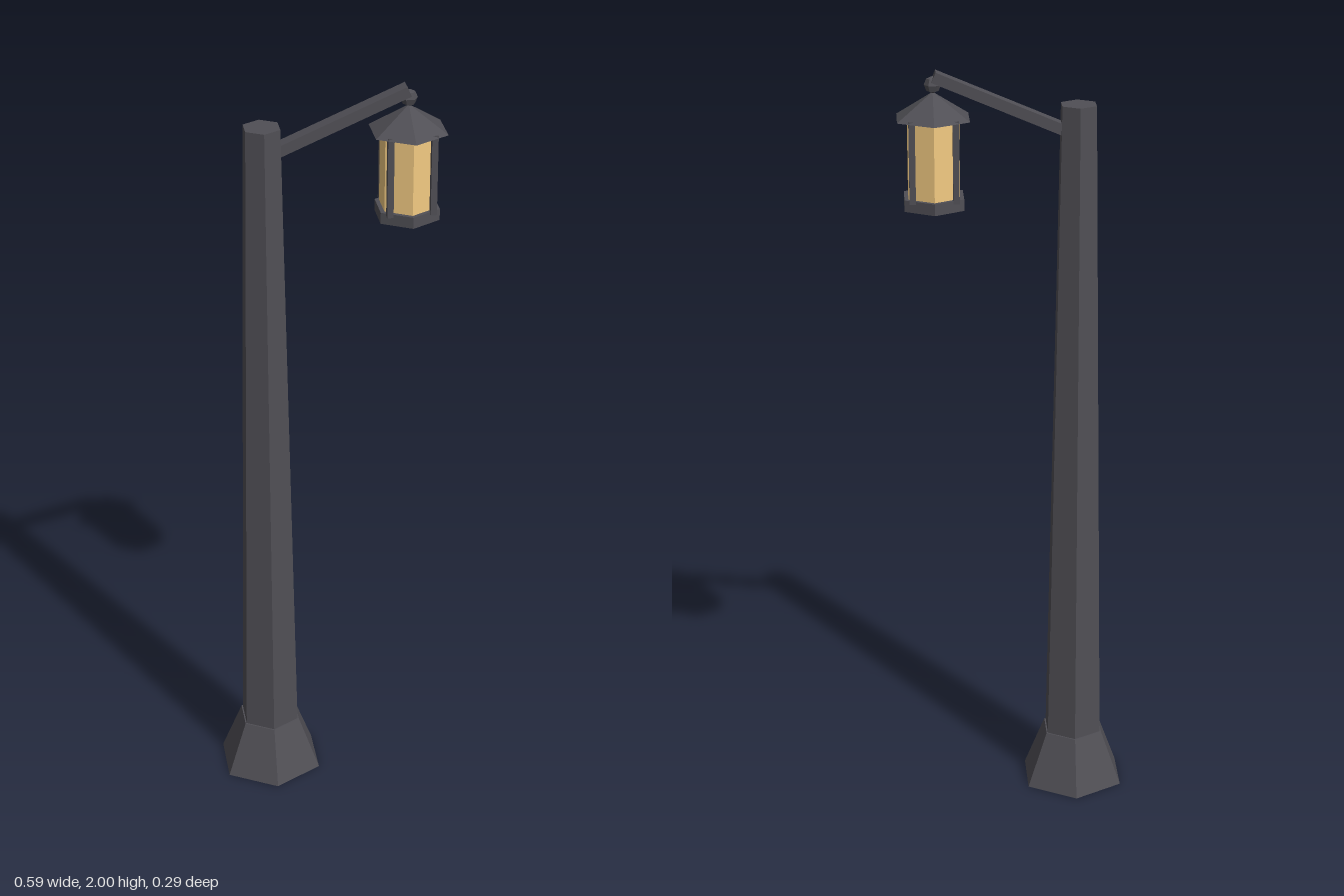
import * as THREE from 'three';

const metal = new THREE.MeshStandardMaterial({ color: 0x504f55, flatShading: true });
const glass = new THREE.MeshStandardMaterial({ color: 0xf2ca82, flatShading: true });

function add(parent, name, geometry, material, x, y, z = 0) {
  const mesh = new THREE.Mesh(geometry, material);
  mesh.name = name;
  mesh.position.set(x, y, z);
  parent.add(mesh);
  return mesh;
}

// Six-sided tapered prism between two heights, corners pointing along z
function hexPrism(parent, name, rTop, rBottom, y0, y1, material, x = 0) {
  const geometry = new THREE.CylinderGeometry(rTop, rBottom, y1 - y0, 6);
  return add(parent, name, geometry, material, x, (y0 + y1) / 2);
}

export function createModel() {
  const model = new THREE.Group();
  model.name = 'streetLamp';

  // Post with flared foot
  const postX = -0.167;
  hexPrism(model, 'foot', 0.087, 0.147, 0, 0.15, metal, postX);
  hexPrism(model, 'post', 0.05, 0.083, 0.145, 1.91, metal, postX);

  // Sloping square arm
  const start = new THREE.Vector2(-0.15, 1.838);
  const end = new THREE.Vector2(0.198, 1.986);
  const span = end.clone().sub(start);
  const arm = add(model, 'arm', new THREE.BoxGeometry(span.length(), 0.028, 0.037), metal,
    (start.x + end.x) / 2, (start.y + end.y) / 2);
  arm.rotation.z = span.angle();

  // Hanging lantern
  const lantern = new THREE.Group();
  lantern.name = 'lantern';
  lantern.position.x = 0.2;
  model.add(lantern);
  hexPrism(lantern, 'lanternBase', 0.087, 0.087, 1.65, 1.68, metal);
  hexPrism(lantern, 'lanternGlass', 0.075, 0.075, 1.675, 1.885, glass);
  hexPrism(lantern, 'lanternRoof', 0, 0.105, 1.88, 1.947, metal);
  add(lantern, 'hangerKnob', new THREE.SphereGeometry(0.022, 6, 4), metal, 0, 1.965);

  // Four upright bars around the glass
  for (const sx of [-1, 1]) {
    for (const sz of [-1, 1]) {
      add(lantern, 'lanternBar', new THREE.BoxGeometry(0.016, 0.212, 0.016), metal,
        sx * 0.055, 1.78, sz * 0.059);
    }
  }
  return model;
}
